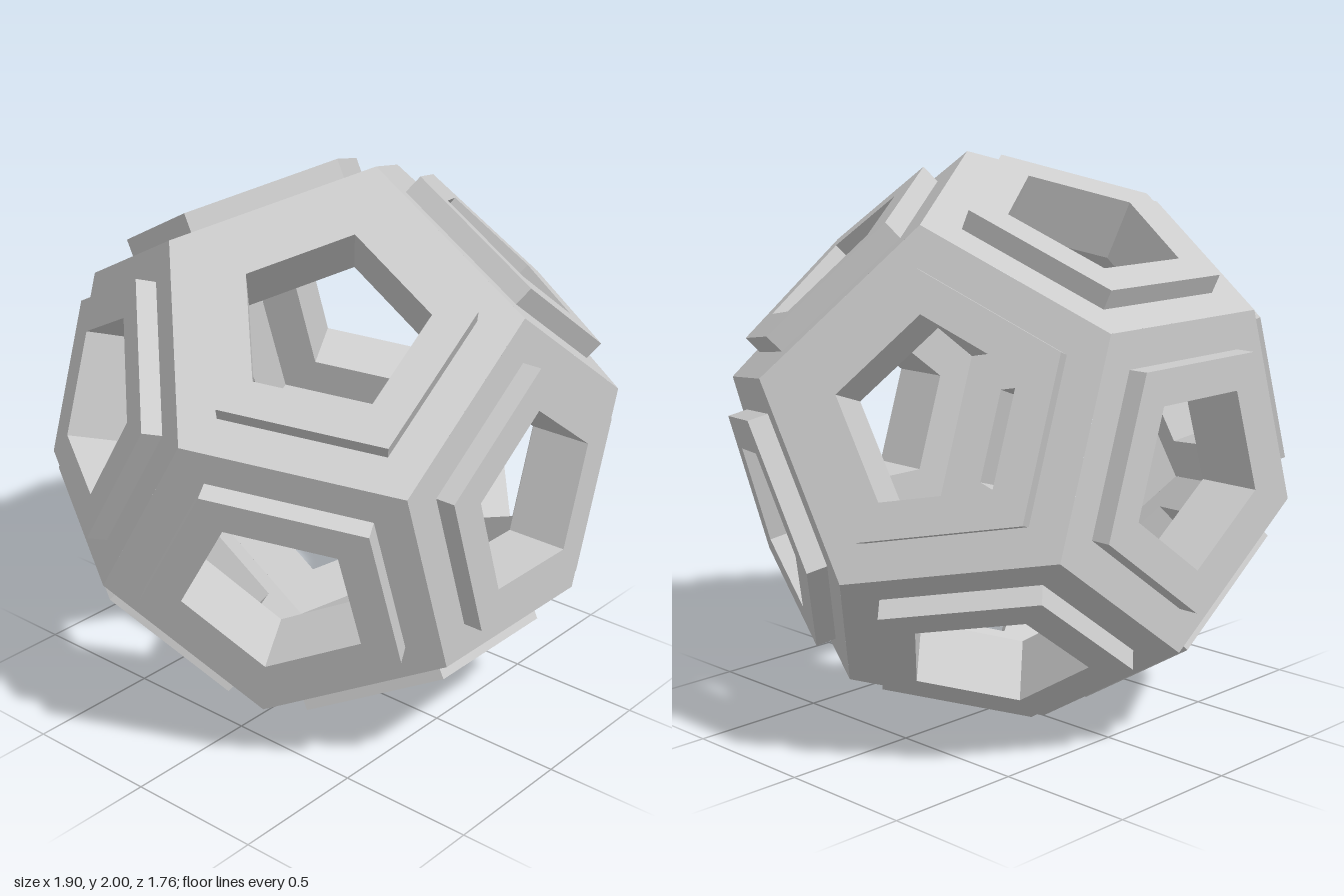
import * as THREE from 'three';

// Dodecahedron sizes: distance of a face from the centre, corner radius of a face
const FACE = 0.809, CORNER = 0.618;
const PLATE_TOP = 0.88, PLATE_R = 0.465, HOLE_R = 0.318, INNER = 0.655;
const TILT = Math.atan(2); // angle between neighbouring face normals

// One face as a five-sided ring: frame, raised plate, hole walls, inner face
function faceGeometry() {
  const profile = [
    [CORNER, FACE],
    [PLATE_R, FACE],
    [PLATE_R, PLATE_TOP],
    [HOLE_R, PLATE_TOP],
    [HOLE_R, INNER],
    [CORNER * INNER / FACE, INNER],
  ].map(([r, h]) => new THREE.Vector2(r, h));
  const geo = new THREE.LatheGeometry(profile, 5, Math.PI);
  geo.rotateX(Math.PI / 2); // face looks to +z with one corner up
  return geo;
}

export function createModel() {
  const model = new THREE.Group();
  model.name = 'openDodecahedron';
  const material = new THREE.MeshStandardMaterial({ color: 0xcccccc, flatShading: true });

  const poleFace = faceGeometry();
  // Neighbour face: turned half round so its flat edge meets the pole face, then tilted
  const ringFace = faceGeometry().rotateZ(Math.PI).rotateX(TILT);

  // Each half is one pole face with five around it; the back is the front turned about x
  for (const side of ['front', 'back']) {
    const half = new THREE.Group();
    half.name = side + 'Half';
    half.position.y = 1;
    if (side === 'back') half.rotation.x = Math.PI;

    const pole = new THREE.Mesh(poleFace, material);
    pole.name = side + 'Face';
    half.add(pole);

    for (let i = 0; i < 5; i++) {
      const face = new THREE.Mesh(ringFace, material);
      face.name = side + 'RingFace' + (i + 1);
      face.rotation.z = i * Math.PI * 2 / 5;
      half.add(face);
    }
    model.add(half);
  }
  return model;
}
